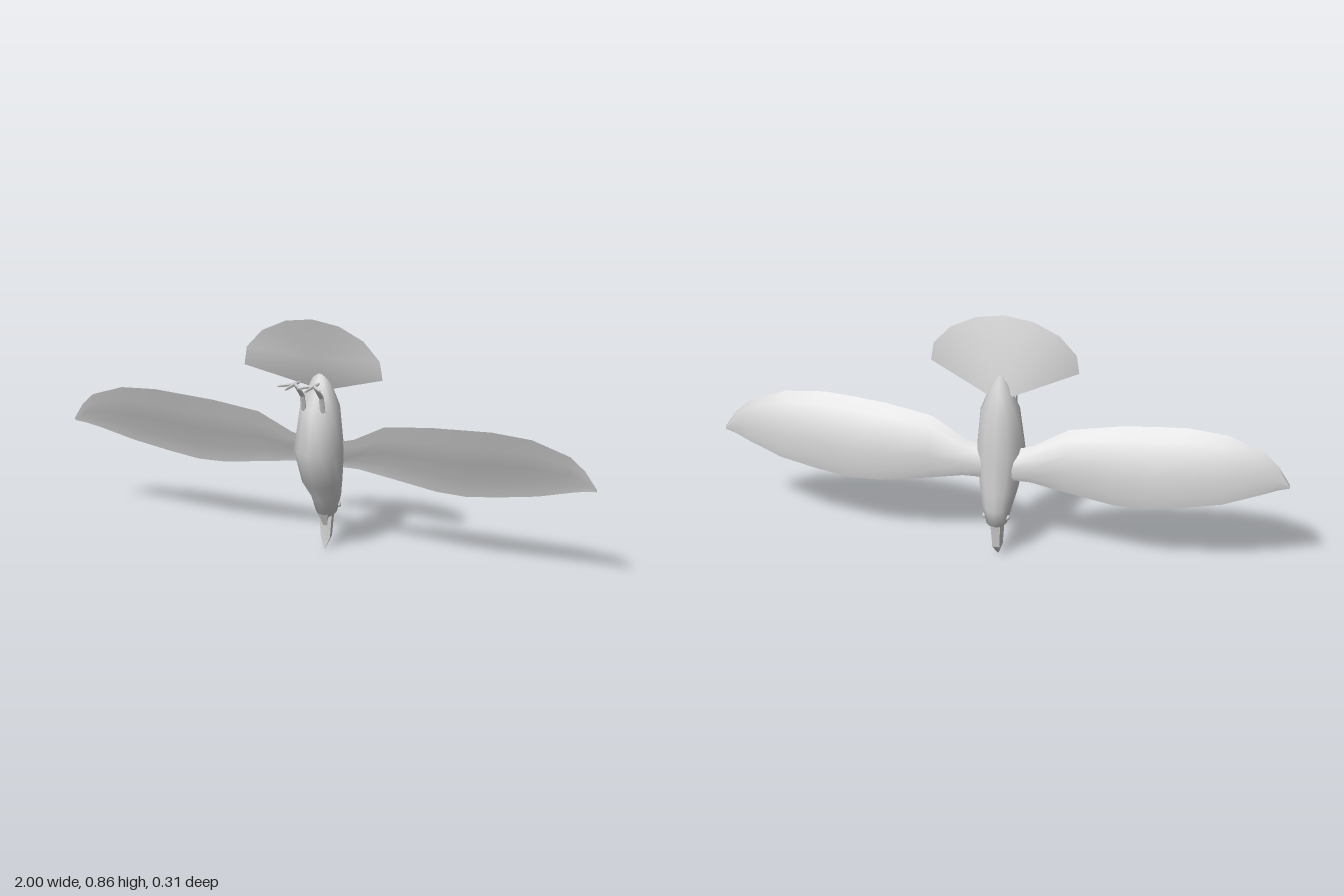
import * as THREE from 'three';
import { toCreasedNormals } from 'three/addons/utils/BufferGeometryUtils.js';

const material = new THREE.MeshStandardMaterial({ color: 0xcccccc, side: THREE.DoubleSide });

function addMesh(parent, name, geometry) {
  const mesh = new THREE.Mesh(geometry, material);
  mesh.name = name;
  parent.add(mesh);
  return mesh;
}

// Skin closed rings of equal length and close both ends
function loft(rings, crease = 0.9) {
  const n = rings[0].length;
  const positions = rings.flat(2);
  const index = [];
  for (let r = 0; r < rings.length - 1; r++) {
    for (let i = 0; i < n; i++) {
      const a = r * n + i, b = r * n + (i + 1) % n;
      index.push(a, b, a + n, b, b + n, a + n);
    }
  }
  const last = (rings.length - 1) * n;
  for (let i = 1; i < n - 1; i++) {
    index.push(0, i + 1, i, last, last + i, last + i + 1);
  }
  const geometry = new THREE.BufferGeometry();
  geometry.setAttribute('position', new THREE.Float32BufferAttribute(positions, 3));
  geometry.setIndex(index);
  return toCreasedNormals(geometry, crease);
}

// Elliptical rings from [y, front z, back z, half width]
function ellipseRings(profile, sides) {
  return profile.map(([y, front, back, w]) => Array.from({ length: sides }, (_, i) => {
    const a = i / sides * Math.PI * 2;
    return [w * Math.cos(a), y, (front + back) / 2 - (front - back) / 2 * Math.sin(a)];
  }));
}

// Wing sections: [x, trailing y, trailing z, leading y, leading z, thickness]
const wingSections = [
  [0.05, 0.41, -0.075, 0.31, -0.11, 0.6],
  [0.12, 0.43, -0.07, 0.31, -0.112, 0.65],
  [0.24, 0.495, -0.05, 0.29, -0.12, 0.85],
  [0.41, 0.52, -0.035, 0.263, -0.125, 1],
  [0.52, 0.528, -0.028, 0.26, -0.125, 1],
  [0.64, 0.535, -0.025, 0.277, -0.12, 0.95],
  [0.78, 0.525, -0.03, 0.303, -0.11, 0.75],
  [0.91, 0.48, -0.042, 0.343, -0.085, 0.4],
  [0.96, 0.435, -0.05, 0.358, -0.07, 0.2],
  [1.0, 0.375, -0.058, 0.365, -0.06, 0.05],
];
// Aerofoil points: [fraction of chord from trailing edge, z offset]
const aerofoil = [[0, 0], [0.25, 0.002], [0.5, 0.004], [0.75, -0.008], [1, 0],
  [0.85, -0.018], [0.6, -0.03], [0.35, -0.034], [0.15, -0.018]];

function wingGeometry(side) {
  return loft(wingSections.map(([x, ty, tz, ly, lz, thick]) => {
    const ring = aerofoil.map(([t, dz]) =>
      [side * x, ty + (ly - ty) * t, tz + (lz - tz) * t + dz * thick]);
    return side > 0 ? ring : ring.reverse();
  }), 1.1);
}

// Fan tail: a shallow cone behind, a dished face in front
function tailGeometry() {
  const rim = [[0.26, 0.68, 0.013], [0.25, 0.745, 0.015], [0.19, 0.81, 0.017],
    [0.1, 0.853, 0.019], [0, 0.868, 0.02]];
  const arc = [...rim, ...rim.slice(0, -1).reverse().map(([x, y, z]) => [-x, y, z])];
  const back = [0, 0.592, -0.08], front = [0, 0.72, -0.018];
  const points = [];
  for (let i = 0; i < arc.length - 1; i++) {
    points.push(front, arc[i], arc[i + 1], back, arc[i + 1], arc[i]);
  }
  points.push(front, back, arc[0], front, arc[arc.length - 1], back);
  const geometry = new THREE.BufferGeometry();
  geometry.setAttribute('position', new THREE.Float32BufferAttribute(points.flat(), 3));
  return toCreasedNormals(geometry, 0.8);
}

// Tapered four-sided stick between two points
function addStick(parent, name, from, to, r0, r1) {
  const a = new THREE.Vector3(...from), b = new THREE.Vector3(...to);
  const dir = b.clone().sub(a);
  const geometry = toCreasedNormals(new THREE.CylinderGeometry(r1, r0, dir.length(), 5), 0.5);
  const stick = addMesh(parent, name, geometry);
  stick.position.copy(a).add(b).multiplyScalar(0.5);
  stick.quaternion.setFromUnitVectors(new THREE.Vector3(0, 1, 0), dir.normalize());
}

export function createModel() {
  const bird = new THREE.Group();
  bird.name = 'divingBird';

  // Body and head, from the crown up to the rump
  addMesh(bird, 'body', loft(ellipseRings([
    [0.12, -0.095, -0.12, 0.018],
    [0.14, -0.065, -0.152, 0.036],
    [0.2, -0.045, -0.16, 0.052],
    [0.265, 0.015, -0.153, 0.068],
    [0.39, 0.057, -0.137, 0.086],
    [0.545, 0.02, -0.118, 0.07],
    [0.64, -0.035, -0.078, 0.033],
    [0.68, -0.056, -0.06, 0.004],
  ], 12), 1.2));

  // Beak: long hooked upper half, short lower half
  const boxRing = ([y, front, back, w]) =>
    [[w, y, front], [w * 0.7, y, back], [-w * 0.7, y, back], [-w, y, front]];
  addMesh(bird, 'upperBeak', loft([
    [0.003, -0.088, -0.092, 0.002],
    [0.045, -0.096, -0.126, 0.018],
    [0.14, -0.096, -0.136, 0.025],
  ].map(boxRing), 0.4));
  addMesh(bird, 'lowerBeak', loft([
    [0.09, -0.094, -0.098, 0.008],
    [0.14, -0.072, -0.1, 0.02],
  ].map(boxRing), 0.4));

  addMesh(bird, 'tail', tailGeometry());

  for (const side of [1, -1]) {
    const label = side > 0 ? 'left' : 'right';
    addMesh(bird, label + 'Wing', wingGeometry(side));

    const eye = addMesh(bird, label + 'Eye', new THREE.SphereGeometry(0.01, 10, 8));
    eye.position.set(side * 0.04, 0.166, -0.12);

    // Leg with three front toes and one back toe
    const leg = new THREE.Group();
    leg.name = label + 'Leg';
    bird.add(leg);
    const x = side * 0.036, ankle = [x, 0.65, 0.078];
    addStick(leg, 'thigh', [x, 0.54, 0.006], [x, 0.597, 0.02], 0.01, 0.009);
    addStick(leg, 'shin', [x, 0.595, 0.019], ankle, 0.009, 0.006);
    for (const [dx, z] of [[-0.042, 0.125], [0, 0.155], [0.042, 0.125], [0, 0.04]]) {
      addStick(leg, 'toe', ankle, [x + dx, 0.65, z], 0.007, 0.004);
    }
  }
  return bird;
}
